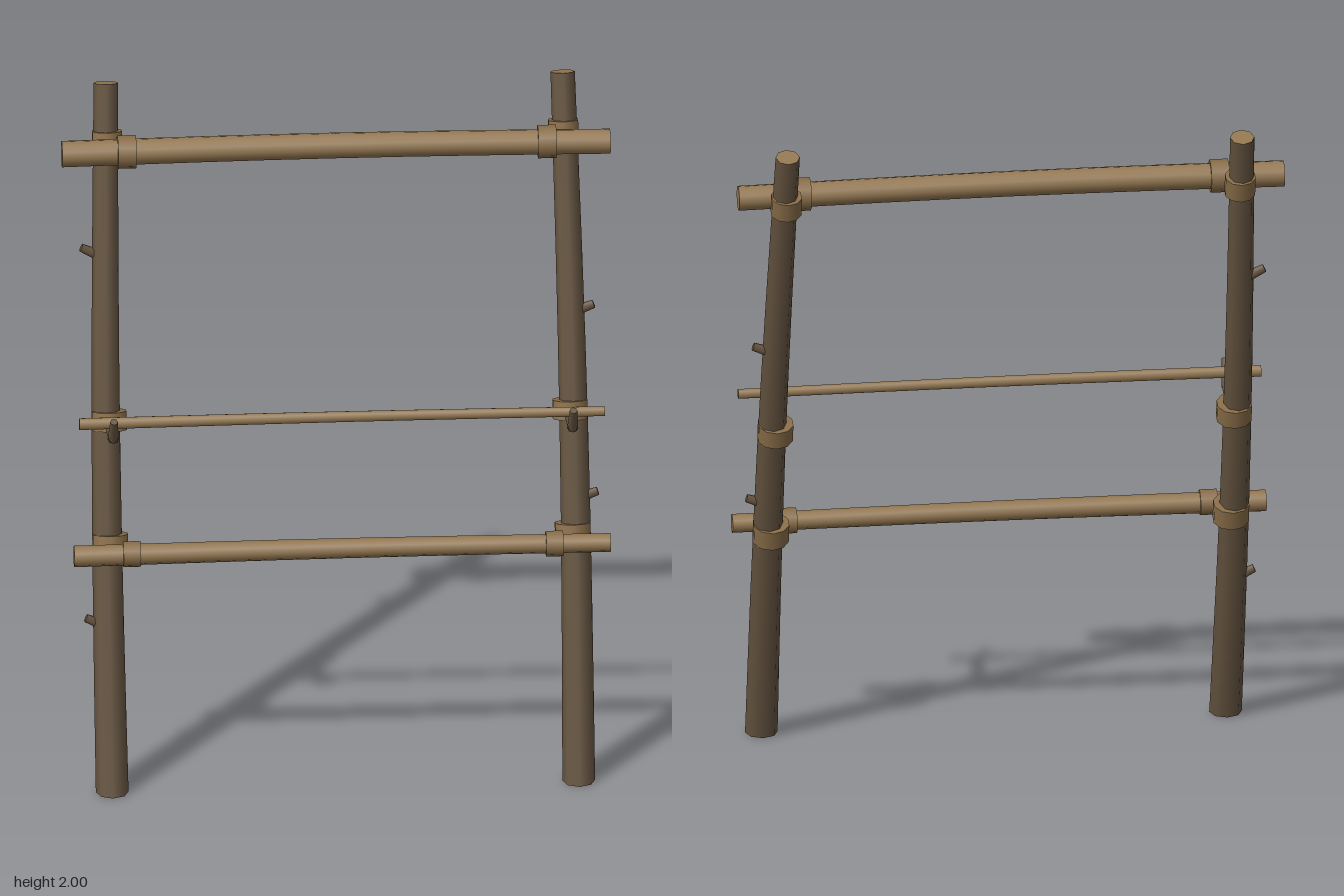
import * as THREE from 'three';

const bark = new THREE.MeshStandardMaterial({ color: 0x655440 });
bark.name = 'dark bark';
const wood = new THREE.MeshStandardMaterial({ color: 0x947852 });
wood.name = 'peeled wood';
const lashing = new THREE.MeshStandardMaterial({ color: 0x8a6e49 });
lashing.name = 'lashing';

const V = (x, y, z) => new THREE.Vector3(x, y, z);
const UP = V(0, 1, 0);

// Tapered round log from a to b; bend(t) returns a sideways offset along its length
function log(name, a, b, ra, rb, sides, mats, bend = null) {
  const dir = b.clone().sub(a);
  const len = dir.length();
  const geo = new THREE.CylinderGeometry(rb, ra, len, sides, bend ? 8 : 1);
  const pos = geo.attributes.position;
  const ts = Array.from({ length: pos.count }, (_, i) => pos.getY(i) / len + 0.5);
  geo.applyQuaternion(new THREE.Quaternion().setFromUnitVectors(UP, dir.normalize()));
  geo.translate((a.x + b.x) / 2, (a.y + b.y) / 2, (a.z + b.z) / 2);
  if (bend) {
    ts.forEach((t, i) => {
      const o = bend(t);
      pos.setXYZ(i, pos.getX(i) + o.x, pos.getY(i) + o.y, pos.getZ(i) + o.z);
    });
  }
  const mesh = new THREE.Mesh(geo, mats);
  mesh.name = name;
  return mesh;
}

// Leaning line of the poles
const poleZ = (y) => 0.26 - 0.265 * y;
const poleDir = V(0, 1, -0.265).normalize();

function pole(name, s) {
  const mesh = log(name, V(s * 0.67, 0, poleZ(0)), V(s * 0.656, 1.99, poleZ(1.99)), 0.047, 0.035, 8,
    [bark, wood, wood], (t) => V(s * 0.009 * Math.sin(Math.PI * t), 0, 0));
  // Slide the lowest ring along the pole so the foot sits flat on the ground
  const pos = mesh.geometry.attributes.position;
  for (let i = 0; i < pos.count; i++) {
    const y = pos.getY(i);
    if (y < 0.05) {
      pos.setY(i, 0);
      pos.setZ(i, pos.getZ(i) + 0.265 * y);
    }
  }
  return mesh;
}

// Rope band around a pole, centred at height y
function poleBand(name, x, y, r, h) {
  const c = V(x, y, poleZ(y));
  const d = poleDir.clone().multiplyScalar(h / 2);
  return log(name, c.clone().sub(d), c.clone().add(d), r, r, 10, lashing);
}

export function createModel() {
  const g = new THREE.Group();
  g.name = 'pole rack';

  // Crossbars: height, depth, end x, end radii, sag
  const bow = (k) => (t) => V(0, k * Math.sin(Math.PI * t), 0);
  g.add(log('topBar', V(-0.79, 1.823, -0.147), V(0.785, 1.821, -0.147), 0.038, 0.036, 12, wood, bow(0.007)));
  g.add(log('lowerBar', V(-0.773, 0.692, 0.15), V(0.768, 0.694, 0.15), 0.031, 0.027, 10, wood, bow(0.004)));
  g.add(log('middleRod', V(-0.757, 1.1, 0.135), V(0.752, 1.1, 0.135), 0.018, 0.015, 8, wood, bow(0.003)));

  for (const s of [-1, 1]) {
    const side = s > 0 ? 'left' : 'right';
    g.add(pole(side + 'Pole', s));

    // Lashings round the poles and round the bars
    g.add(poleBand(side + 'TopPoleLashing', s * 0.655, 1.826, 0.045, 0.06));
    g.add(poleBand(side + 'MiddlePoleLashing', s * 0.662, 1.043, 0.052, 0.055));
    g.add(poleBand(side + 'LowerPoleLashing', s * 0.664, 0.695, 0.053, 0.06));
    g.add(log(side + 'TopBarLashing', V(s * 0.577, 1.825, -0.147), V(s * 0.63, 1.825, -0.147), 0.048, 0.048, 10, lashing));
    g.add(log(side + 'LowerBarLashing', V(s * 0.582, 0.695, 0.15), V(s * 0.632, 0.695, 0.15), 0.037, 0.037, 10, lashing));

    // Forked hook carrying the middle rod
    const hook = new THREE.Group();
    hook.name = side + 'Hook';
    const x = s * 0.66;
    hook.add(log('hookArm', V(x, 1.043, 0.0), V(x, 1.06, 0.152), 0.018, 0.015, 8, bark));
    hook.add(log('hookTip', V(x, 1.052, 0.14), V(x, 1.125, 0.182), 0.016, 0.011, 8, bark));
    g.add(hook);

    // Broken twig stubs on the outer faces
    const heights = s > 0 ? [1.325, 0.8] : [1.515, 0.475];
    for (const y of heights) {
      const out = y < 1 ? 0.738 : 0.735;
      const rise = s > 0 ? 0.012 : 0.016;
      g.add(log(side + 'TwigStub', V(s * 0.67, y - rise, poleZ(y)), V(s * out, y + rise, poleZ(y)), 0.017, 0.012, 6, bark));
    }
  }
  return g;
}
